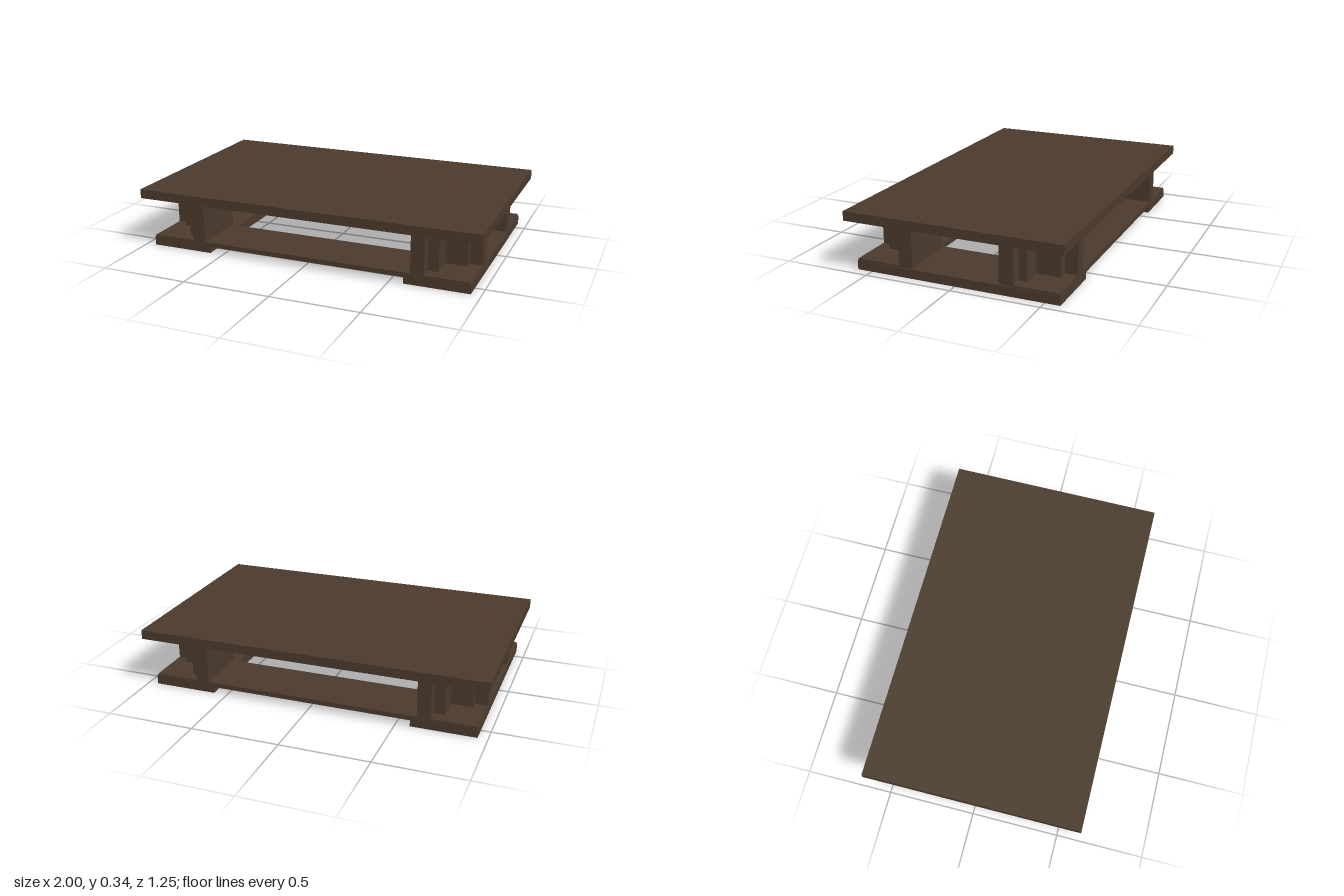
import * as THREE from 'three';

export function createModel() {
  const table = new THREE.Group();
  table.name = 'lowTable';
  const wood = new THREE.MeshStandardMaterial({ color: 0x4b3a2c });
  wood.name = 'darkWood';

  const board = (name, w, h, d, x, y, z) => {
    const mesh = new THREE.Mesh(new THREE.BoxGeometry(w, h, d), wood);
    mesh.name = name;
    mesh.position.set(x, y, z);
    table.add(mesh);
  };

  // Table top
  board('tableTop', 2, 0.053, 1.245, 0, 0.3165, 0);

  // Base frame: cross boards at the ends, thin rails laid over them
  for (const s of [-1, 1]) {
    board('endBoard', 0.365, 0.052, 1.17, s * 0.7625, 0.026, 0);
    board('longRail', 1.88, 0.027, 0.315, 0, 0.0485, s * 0.425);
  }

  // Stepped corner legs: two nested L plans opening outwards
  const plan = [
    [0.615, 0.25], [0.94, 0.25], [0.94, 0.33], [0.87, 0.33], [0.87, 0.375],
    [0.75, 0.375], [0.75, 0.51], [0.69, 0.51], [0.69, 0.58], [0.615, 0.58],
  ];
  const bottom = 0.056, top = 0.292;
  for (const sx of [-1, 1]) {
    for (const sz of [-1, 1]) {
      // Shape y becomes -z once the extrusion is stood upright
      const shape = new THREE.Shape(plan.map(([x, z]) => new THREE.Vector2(sx * x, -sz * z)));
      const geometry = new THREE.ExtrudeGeometry(shape, { depth: top - bottom, bevelEnabled: false });
      geometry.rotateX(-Math.PI / 2);
      geometry.translate(0, bottom, 0);
      const leg = new THREE.Mesh(geometry, wood);
      leg.name = (sz > 0 ? 'front' : 'back') + (sx > 0 ? 'Left' : 'Right') + 'Leg';
      table.add(leg);
    }
  }
  return table;
}
